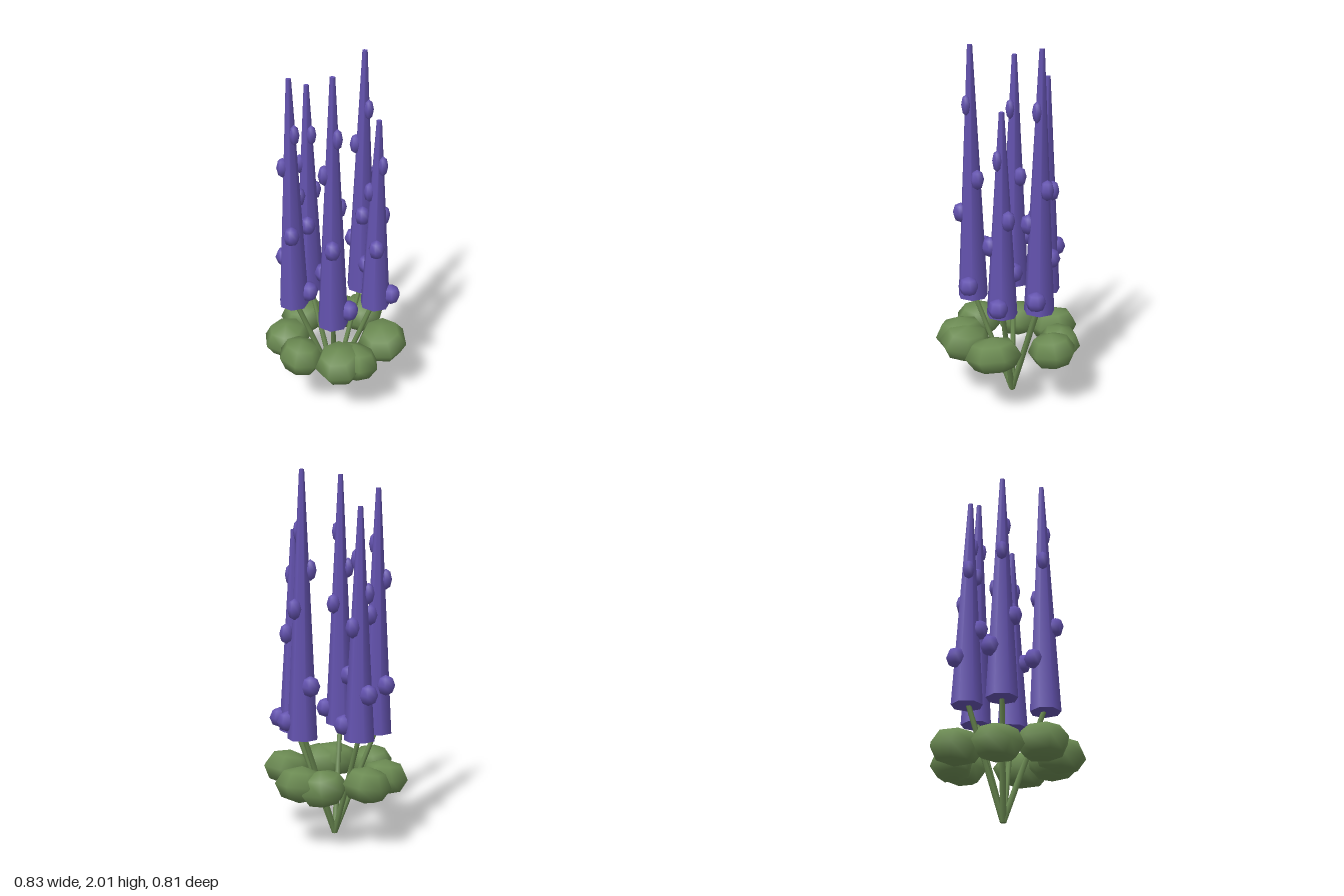
import * as THREE from 'three';

export function createModel() {
  const group = new THREE.Group();
  group.name = 'floweringPlant';
  const leafGreen = new THREE.MeshStandardMaterial({ name: 'leaf green', color: 0x6b8a52 });
  const petalPurple = new THREE.MeshStandardMaterial({ name: 'petal purple', color: 0x6453b0 });

  const add = (parent, name, geometry, material) => {
    const mesh = new THREE.Mesh(geometry, material);
    mesh.name = name;
    parent.add(mesh);
    return mesh;
  };

  const root = new THREE.Vector3(-0.005, 0, -0.025);
  const spireBase = 0.575, baseRadius = 0.085, tipRadius = 0.014;
  const blossomShape = new THREE.SphereGeometry(1, 7, 4);
  const leafShape = new THREE.SphereGeometry(1, 7, 4);

  // Flower spires: x, z and height of the tip
  const spires = [
    [0.01, 0.2, 1.99], [0.13, -0.21, 2.0], [0.225, -0.025, 1.69],
    [-0.235, 0.02, 1.91], [-0.175, -0.18, 1.81],
  ];
  for (const [x, z, top] of spires) {
    const flower = new THREE.Group();
    flower.name = 'flower';
    group.add(flower);

    // Leaning stem from the shared root to the spire
    const end = new THREE.Vector3(x, spireBase + 0.03, z);
    const dir = end.clone().sub(root);
    const stem = add(flower, 'stem', new THREE.CylinderGeometry(0.014, 0.017, dir.length(), 6), leafGreen);
    stem.position.copy(root).add(end).multiplyScalar(0.5);
    stem.quaternion.setFromUnitVectors(new THREE.Vector3(0, 1, 0), dir.normalize());

    // Tapering spire
    const length = top - spireBase;
    const spire = add(flower, 'spire', new THREE.CylinderGeometry(tipRadius, baseRadius, length, 7), petalPurple);
    spire.position.set(x, spireBase + length / 2, z);

    // Blossoms winding upward in a spiral
    for (let i = 0; i < 6; i++) {
      const t = 0.063 + i / 7;
      const reach = THREE.MathUtils.lerp(baseRadius, tipRadius, t) * 1.06;
      const width = 0.058 - 0.0062 * i;
      const blossom = add(flower, 'blossom', blossomShape, petalPurple);
      blossom.position.set(
        x + Math.cos(i * 2.4) * reach, spireBase + length * t, z - Math.sin(i * 2.4) * reach);
      blossom.scale.set(width, 0.057, width);
      blossom.rotation.y = -i * 2.4;
    }
  }

  // Ring of plump leaves: x, y, z, half width, half depth, turn, tilt
  const leaves = [
    [0.275, 0.35, 0.01, 0.145, 0.16, 0.2, 0.12],
    [0.13, 0.34, 0.215, 0.13, 0.155, 0.9, -0.1],
    [0.055, 0.35, 0.26, 0.14, 0.15, 0.3, 0.1],
    [-0.17, 0.35, 0.215, 0.125, 0.145, 0.5, -0.08],
    [-0.28, 0.325, 0.01, 0.14, 0.135, 0.7, 0.06],
    [-0.22, 0.34, -0.22, 0.135, 0.145, 0.1, 0.1],
    [0, 0.33, -0.3, 0.135, 0.12, 0.4, -0.1],
    [0.125, 0.34, -0.285, 0.14, 0.135, 0.8, 0.08],
  ];
  for (const [x, y, z, width, depth, turn, tilt] of leaves) {
    const leaf = add(group, 'leaf', leafShape, leafGreen);
    leaf.position.set(x, y, z);
    leaf.scale.set(width, 0.1, depth);
    leaf.rotation.set(tilt, turn, tilt);
  }
  return group;
}
